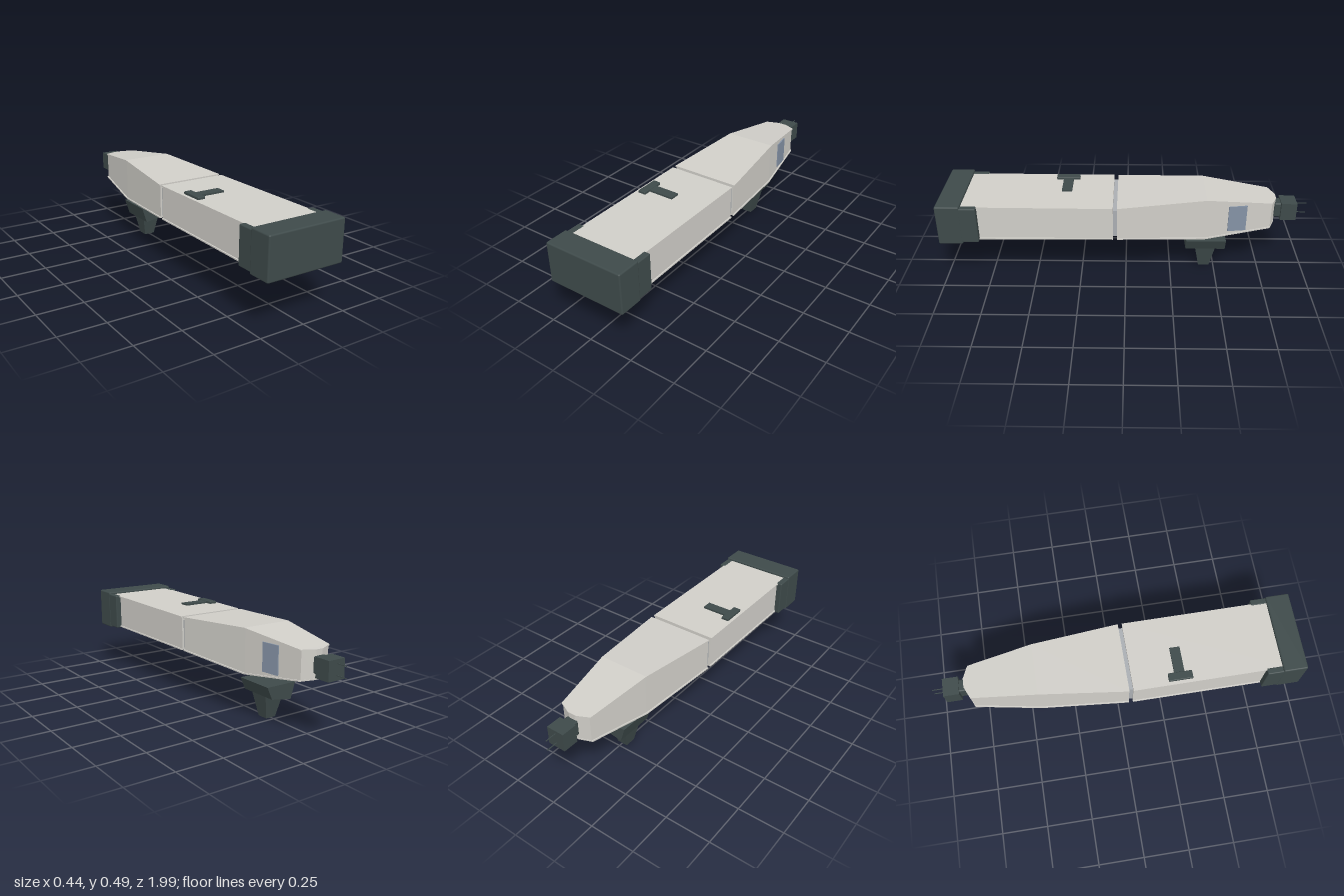
import * as THREE from 'three';
import { RoundedBoxGeometry } from 'three/addons/geometries/RoundedBoxGeometry.js';

export function createModel() {
  const root = new THREE.Group();
  const mat = (name, color) => {
    const m = new THREE.MeshStandardMaterial({ color });
    m.name = name;
    return m;
  };
  const hull = mat('hull grey', 0xd0cec8);
  const dark = mat('dark slate', 0x3e4a4a);
  const glass = mat('window blue', 0x8492a5);
  const seal = mat('joint grey', 0xaaaeb2);

  const add = (name, geometry, material) => {
    const mesh = new THREE.Mesh(geometry, material);
    mesh.name = name;
    root.add(mesh);
    return mesh;
  };
  // Box given by its limits, optionally with rounded edges
  const box = (name, material, [x0, x1], [y0, y1], [z0, z1], r = 0) => {
    const s = [x1 - x0, y1 - y0, z1 - z0];
    const g = r ? new RoundedBoxGeometry(...s, 2, r) : new THREE.BoxGeometry(...s);
    g.translate((x0 + x1) / 2, (y0 + y1) / 2, (z0 + z1) / 2);
    return add(name, g, material);
  };
  // Loft through rectangular sections [z, half width, bottom, top], front to back
  const loft = (name, material, sections) => {
    const pos = [];
    const ring = ([z, w, b, t]) => [[-w, b, z], [w, b, z], [w, t, z], [-w, t, z]];
    const quad = (a, b, c, d) => pos.push(...a, ...b, ...c, ...a, ...c, ...d);
    const rings = sections.map(ring);
    quad(...rings[0]);
    for (let i = 0; i < rings.length - 1; i++) {
      const f = rings[i], k = rings[i + 1];
      for (let j = 0; j < 4; j++) {
        const n = (j + 1) % 4;
        quad(f[n], f[j], k[j], k[n]);
      }
    }
    quad(...[...rings[rings.length - 1]].reverse());
    const g = new THREE.BufferGeometry();
    g.setAttribute('position', new THREE.Float32BufferAttribute(pos, 3));
    g.computeVertexNormals();
    return add(name, g, material);
  };
  // Hull section: slightly recessed walls between a roof and a floor plate
  const hullSection = (name, sections) => {
    const inset = 0.007, thick = 0.007;
    loft(name + 'Walls', hull, sections.map(([z, w, b, t]) => [z, w - inset, b + thick, t - thick]));
    loft(name + 'Roof', hull, sections.map(([z, w, b, t]) => [z, w, t - thick, t]));
    loft(name + 'Floor', hull, sections.map(([z, w, b]) => [z, w, b, b + thick]));
  };

  hullSection('frontHull', [[0.9, 0.195, 0.268, 0.466], [0.068, 0.195, 0.272, 0.462]]);
  hullSection('rearHull', [
    [0.046, 0.195, 0.272, 0.462],
    [-0.43, 0.143, 0.246, 0.486],
    [-0.785, 0.092, 0.289, 0.443],
    [-0.815, 0.025, 0.293, 0.44],
  ]);
  box('hullJoint', seal, [-0.178, 0.178], [0.285, 0.44], [0.04, 0.075]);

  // Front bumper with side arms
  box('bumper', dark, [-0.222, 0.222], [0.254, 0.479], [0.87, 1], 0.008);
  for (const s of [-1, 1]) {
    const x = s > 0 ? [0.185, 0.22] : [-0.22, -0.185];
    box('bumperArm', dark, x, [0.264, 0.468], [0.785, 0.89], 0.006);
  }

  // T-shaped handle on the roof
  box('handleHead', dark, [-0.176, -0.132], [0.455, 0.477], [0.26, 0.39], 0.004);
  box('handleStem', dark, [-0.14, 0.01], [0.455, 0.473], [0.295, 0.35]);

  // Side window
  const win = add('window', new THREE.BoxGeometry(0.009, 0.15, 0.1), glass);
  win.position.set(0.113, 0.362, -0.6);
  win.rotation.y = 0.13;

  // Keel pod hanging below the hull
  const slab = (name, points, z0, z1) => {
    const shape = new THREE.Shape(points.map((p) => new THREE.Vector2(...p)));
    const g = new THREE.ExtrudeGeometry(shape, { depth: z1 - z0, bevelEnabled: false });
    g.translate(0, 0, z0);
    return add(name, g, dark);
  };
  slab('podUpper', [[-0.062, 0.11], [0.06, 0.13], [0.09, 0.198], [-0.09, 0.198]], -0.555, -0.335);
  // The lower pod narrows downward along z as well
  const lower = slab('podLower', [[-0.03, 0], [0.03, 0], [0.056, 0.13], [-0.053, 0.112]], -0.5, -0.39);
  const p = lower.geometry.attributes.position;
  for (let i = 0; i < p.count; i++) {
    const k = 0.55 + 0.45 * Math.min(1, p.getY(i) / 0.115);
    p.setZ(i, -0.445 + (p.getZ(i) + 0.445) * k);
  }
  lower.geometry.computeVertexNormals();

  // Tail sensor with neck and two probes
  box('tailNeck', dark, [-0.034, 0.034], [0.326, 0.41], [-0.85, -0.81], 0.008);
  box('tailSensor', dark, [-0.05, 0.05], [0.315, 0.416], [-0.93, -0.845]);
  for (const y of [0.34, 0.397]) {
    box('tailProbe', dark, [-0.002, 0.002], [y - 0.002, y + 0.002], [-0.99, -0.92]);
  }

  return root;
}
